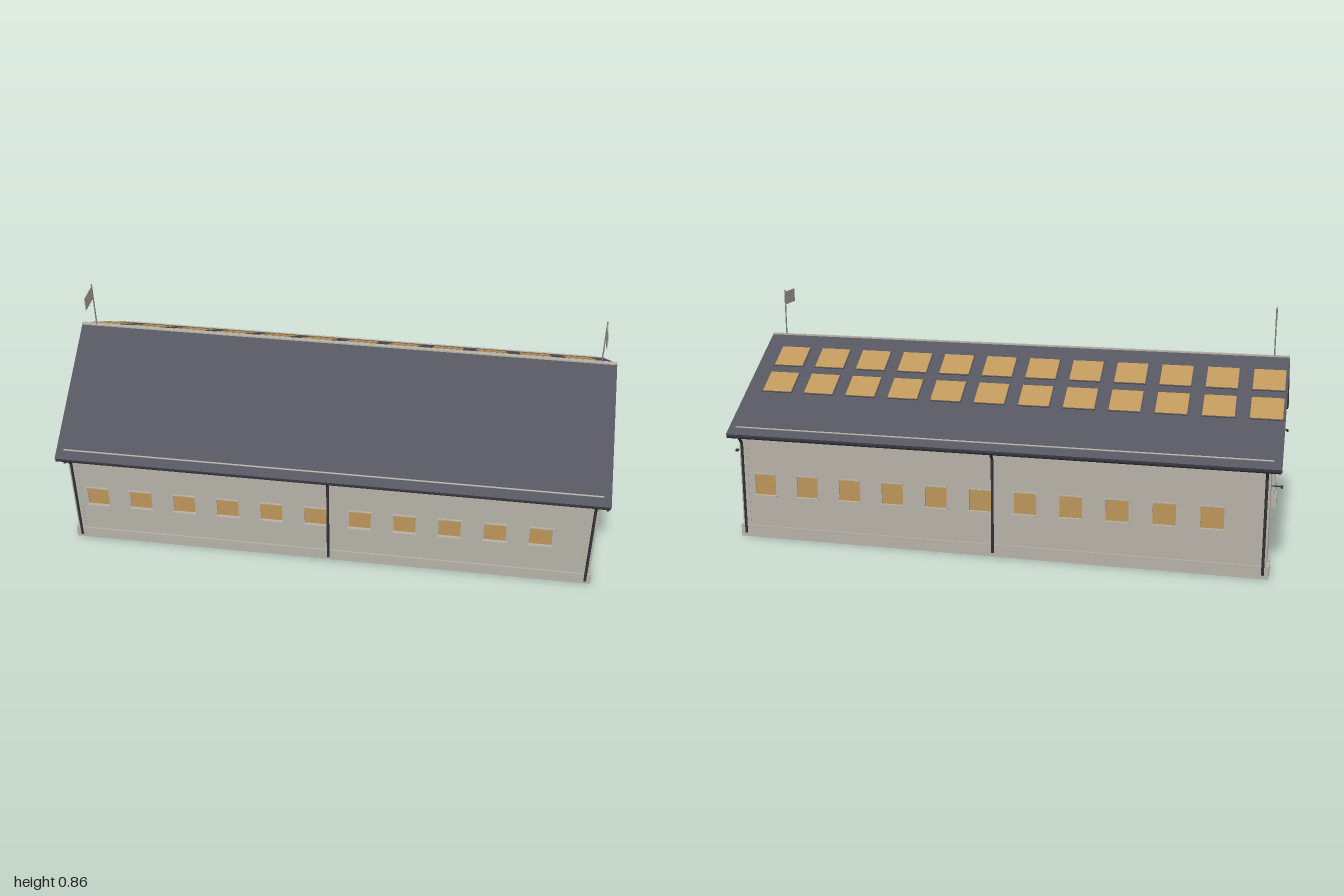
import * as THREE from 'three';

const mat = (name, color) => Object.assign(new THREE.MeshStandardMaterial({ color }), { name });

export function createModel() {
  const plaster = mat('plaster', 0xb6b2a7);
  const roofing = mat('slate roofing', 0x55555f);
  const metal = mat('dark metal', 0x33343b);
  const shutter = mat('amber pane', 0xbd965a);
  const glass = mat('dark blue glass', 0x1f3242);
  const wood = mat('bench wood', 0xb08a50);
  const steel = mat('pole steel', 0x85858a);

  const model = new THREE.Group();
  const add = (parent, name, geo, material, x = 0, y = 0, z = 0) => {
    const m = new THREE.Mesh(geo, material);
    m.name = name;
    m.position.set(x, y, z);
    parent.add(m);
    return m;
  };
  const box = (parent, name, w, h, d, material, x, y, z) =>
    add(parent, name, new THREE.BoxGeometry(w, h, d), material, x, y, z);
  const rod = (parent, name, r, len, material, x, y, z, alongX = true) => {
    const g = new THREE.CylinderGeometry(r, r, len, 10);
    if (alongX) g.rotateZ(Math.PI / 2);
    return add(parent, name, g, material, x, y, z);
  };
  // Extrude a (z, y) outline along x, centred on x = 0
  const crossSection = (pts, length) => {
    const shape = new THREE.Shape(pts.map(p => new THREE.Vector2(...p)));
    return new THREE.ExtrudeGeometry(shape, { depth: length, bevelEnabled: false })
      .translate(0, 0, -length / 2).rotateY(-Math.PI / 2);
  };

  // Roof: pale verge ends, dark slopes
  const slope = 0.632, ridgeY = 0.689, eaveZ = 0.459, thick = 0.016;
  const roofY = z => ridgeY - slope * Math.abs(z);
  const roof = crossSection([
    [-eaveZ, roofY(eaveZ)], [-eaveZ + 0.008, roofY(eaveZ) - 0.011], [0, ridgeY - thick],
    [eaveZ - 0.008, roofY(eaveZ) - 0.011], [eaveZ, roofY(eaveZ)], [0, ridgeY]], 1.99);
  add(model, 'roof', roof, [plaster, roofing]);
  box(model, 'ridgeCap', 1.99, 0.005, 0.014, plaster, 0, ridgeY - 0.001, 0);

  // Gable ends with a wide gateway, flags and lamps
  const wallTop = roofY(0.425) - thick;
  for (const s of [-1, 1]) {
    const end = new THREE.Group();
    end.name = s > 0 ? 'leftEnd' : 'rightEnd';
    model.add(end);
    add(end, 'gable', crossSection([
      [-0.425, 0], [-0.34, 0], [-0.34, 0.383], [0.34, 0.383], [0.34, 0], [0.425, 0],
      [0.425, wallTop], [0, ridgeY - thick], [-0.425, wallTop]], 0.03), plaster, s * 0.945);
    rod(end, 'flagPole', 0.0025, 0.18, steel, s * 0.94, 0.772, 0, false);
    box(end, 'flag', 0.003, 0.05, 0.088, plaster, s * 0.94, 0.83, 0.045);
    for (const z of [-0.375, 0.375]) {
      rod(end, 'lampArm', 0.002, 0.036, metal, s * 0.976, 0.317, z);
      box(end, 'lampHead', 0.009, 0.009, 0.007, metal, s * 0.995, 0.315, z);
      box(end, 'pillarPlinth', 0.045, 0.045, 0.091, plaster, s * 0.945, 0.0225, Math.sign(z) * 0.3845);
    }
  }

  // Long sides: the back one is the front one turned half round
  const winW = 0.08, winH = 0.083, winY = 0.205;
  const winX = Array.from({ length: 11 }, (_, i) => -0.864 + i * 0.1634);
  for (const turn of [0, Math.PI]) {
    const side = new THREE.Group();
    side.name = turn ? 'backSide' : 'frontSide';
    side.rotation.y = turn;
    model.add(side);

    const wall = new THREE.Shape([[-0.94, 0], [0.94, 0], [0.94, wallTop], [-0.94, wallTop]]
      .map(p => new THREE.Vector2(...p)));
    for (const x of winX) {
      const l = x - winW / 2, r = x + winW / 2, b = winY - winH / 2, t = winY + winH / 2;
      wall.holes.push(new THREE.Path([[l, b], [l, t], [r, t], [r, b]].map(p => new THREE.Vector2(...p))));
      box(side, 'outerPane', winW, winH, 0.003, shutter, x, winY, 0.4185);
      box(side, 'innerPane', winW - 0.016, winH - 0.016, 0.004, glass, x, winY, 0.405);
      box(side, 'innerFrame', winW, winH, 0.003, plaster, x, winY, 0.407);
      box(side, 'windowSill', winW + 0.008, 0.004, 0.012, plaster, x, b, 0.4265);
      box(side, 'windowLintel', winW + 0.008, 0.004, 0.01, plaster, x, t, 0.4255);
    }
    add(side, 'wall', new THREE.ExtrudeGeometry(wall, { depth: 0.024, bevelEnabled: false }),
      plaster, 0, 0, 0.4);
    box(side, 'plinth', 1.9, 0.045, 0.034, plaster, 0, 0.0225, 0.413);
    box(side, 'bench', 1.85, 0.01, 0.083, wood, 0, 0.038, 0.3635);

    // Gutter, downpipes and snow rail
    rod(side, 'gutter', 0.008, 1.985, metal, 0, 0.391, 0.4515);
    for (const x of [-0.947, 0, 0.947]) {
      const path = new THREE.CurvePath();
      const p = [[0.391, 0.452], [0.382, 0.45], [0.364, 0.433], [0.35, 0.432], [0.015, 0.432]]
        .map(([y, z]) => new THREE.Vector3(x, y, z));
      for (let i = 0; i < p.length - 1; i++) path.add(new THREE.LineCurve3(p[i], p[i + 1]));
      add(side, 'downpipe', new THREE.TubeGeometry(path, 40, 0.005, 8), metal);
    }
    rod(side, 'snowRail', 0.003, 1.935, plaster, 0, roofY(0.43) + 0.003, 0.43);
  }

  // Two rows of skylights on the back slope
  const skyLen = 0.085 * Math.hypot(1, slope);
  for (const z of [-0.225, -0.107]) {
    for (let i = 0; i < 12; i++) {
      const x = -0.93 + i * 0.1638;
      const frame = box(model, 'skylightFrame', 0.118, 0.006, skyLen + 0.006, roofing, x, roofY(z), z);
      const pane = box(model, 'skylight', 0.112, 0.009, skyLen, shutter, x, roofY(z), z);
      frame.rotation.x = pane.rotation.x = -Math.atan(slope);
    }
  }
  return model;
}
